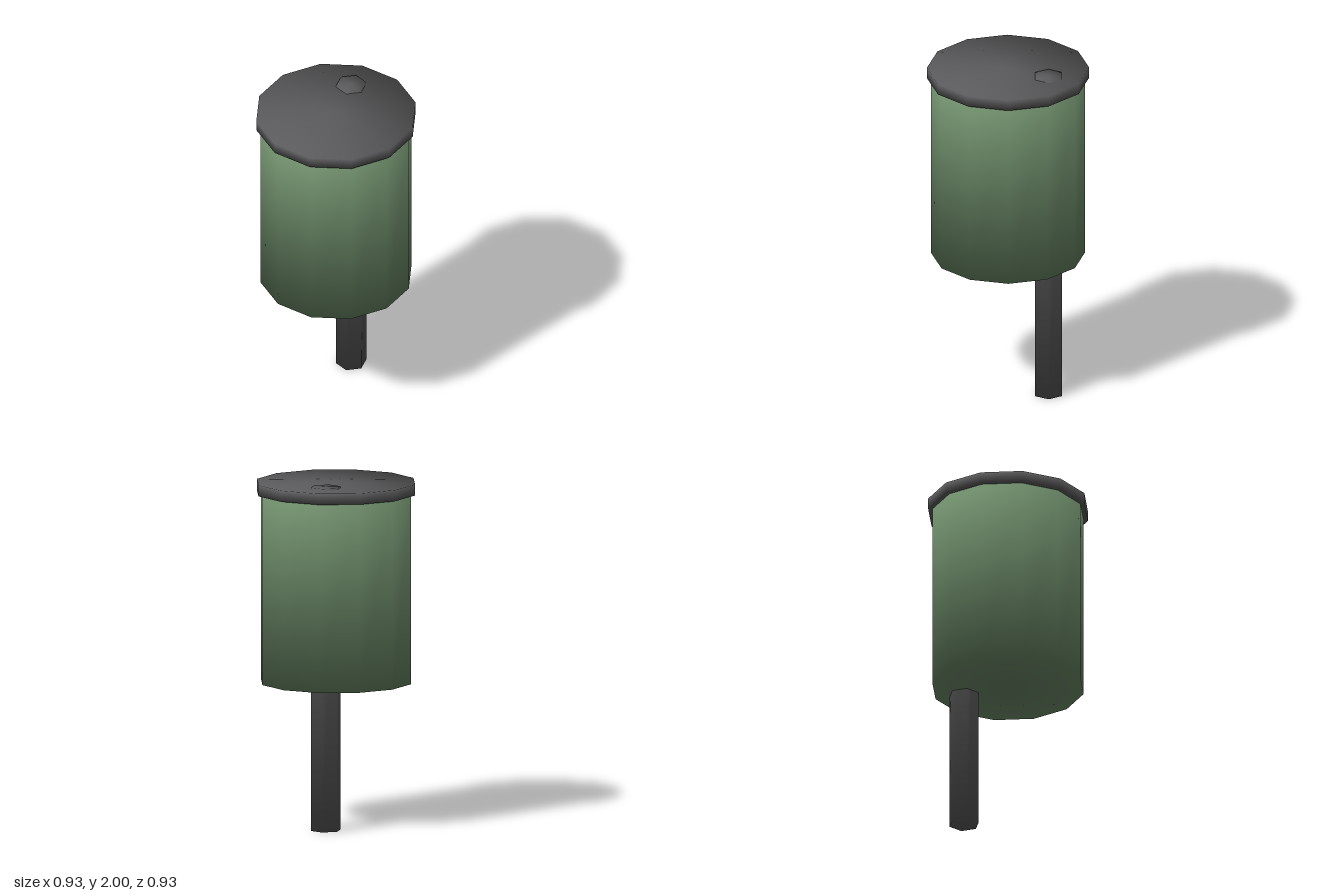
import * as THREE from 'three';

// Closed prism whose shading runs smoothly over the rims into the caps
function softPrism(radius, bottom, top, sides) {
  const height = top - bottom;
  const geo = new THREE.CylinderGeometry(radius, radius, height, sides);
  const pos = geo.attributes.position;
  const normal = geo.attributes.normal;
  for (let i = 0; i < pos.count; i++) {
    // 45 degree rim normals; cap centres point straight along the axis
    normal.setXYZ(
      i,
      (pos.getX(i) / radius) * Math.SQRT1_2,
      Math.sign(pos.getY(i)) * Math.SQRT1_2,
      (pos.getZ(i) / radius) * Math.SQRT1_2
    );
  }
  geo.translate(0, (top + bottom) / 2, 0);
  return geo;
}

export function createModel() {
  const green = new THREE.MeshStandardMaterial({ color: 0x6c8a68 });
  green.name = 'green paint';
  const grey = new THREE.MeshStandardMaterial({ color: 0x5a5a5c });
  grey.name = 'dark grey metal';

  const model = new THREE.Group();
  model.name = 'postMountedBin';

  const add = (name, geometry, material, z = 0) => {
    const mesh = new THREE.Mesh(geometry, material);
    mesh.name = name;
    mesh.position.z = z;
    model.add(mesh);
  };

  // Twelve-sided bin body and its slightly wider lid
  add('binBody', softPrism(0.443, 0.825, 1.93, 12), green);
  add('lid', softPrism(0.467, 1.925, 1.99, 12), grey);
  // Hexagonal post at the back, passing through the bin and lid
  add('post', softPrism(0.0885, 0, 2, 6), grey, -0.268);

  return model;
}
